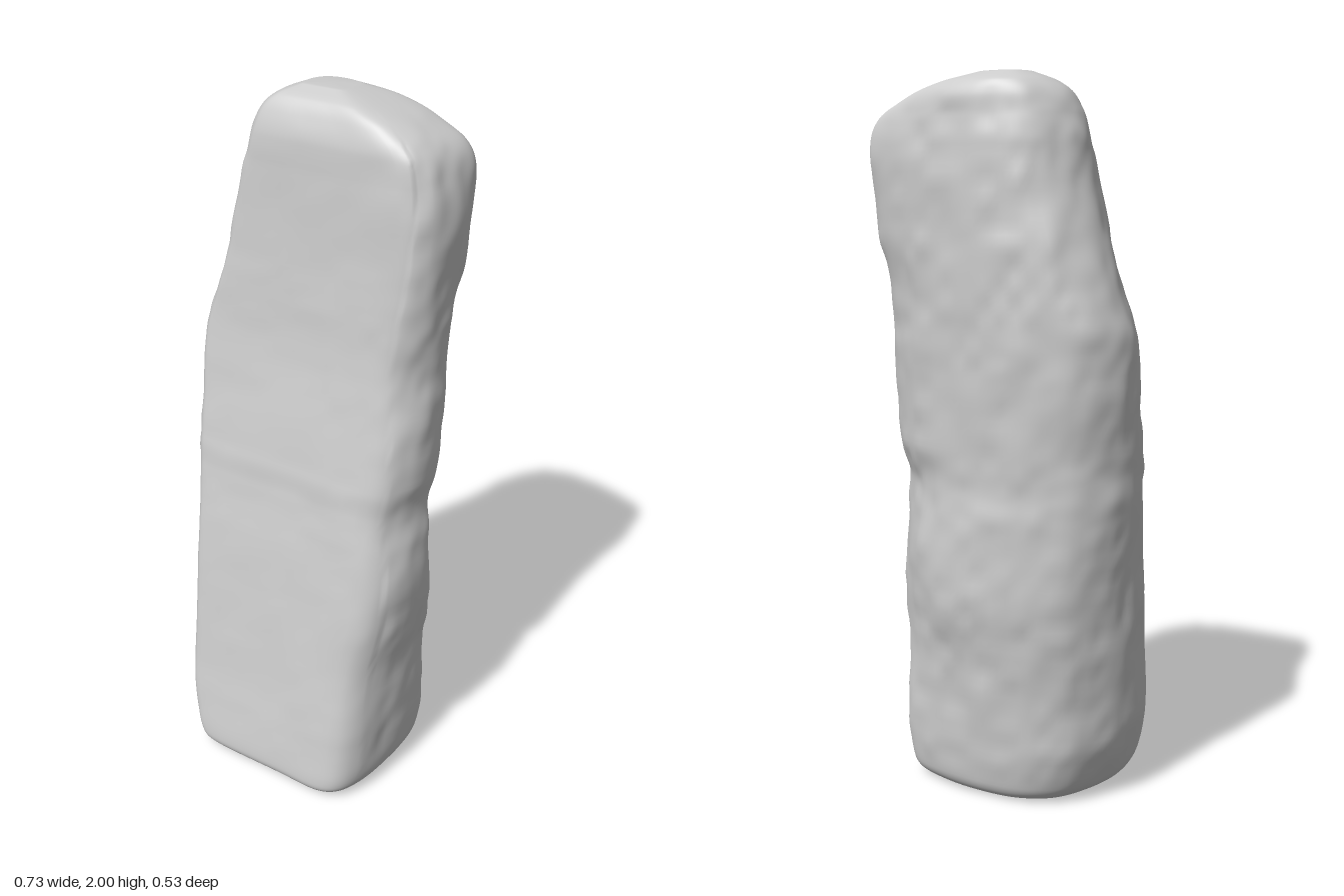
import * as THREE from 'three';

// Stations up the stone: y, left x, right x, front z, back z, depth of the back right edge
const stations = [
  [0.0, -0.17, 0.2, 0.2, -0.12, 0.9],
  [0.012, -0.23, 0.27, 0.25, -0.165, 0.9],
  [0.045, -0.265, 0.305, 0.265, -0.185, 0.9],
  [0.2, -0.315, 0.32, 0.242, -0.2, 0.88],
  [0.4, -0.325, 0.322, 0.21, -0.22, 0.8],
  [0.6, -0.335, 0.35, 0.178, -0.248, 0.7],
  [0.8, -0.345, 0.346, 0.145, -0.245, 0.62],
  [0.9, -0.35, 0.332, 0.128, -0.238, 0.64],
  [1.0, -0.355, 0.346, 0.112, -0.245, 0.7],
  [1.2, -0.365, 0.342, 0.075, -0.253, 0.7],
  [1.32, -0.364, 0.337, 0.055, -0.257, 0.7],
  [1.45, -0.325, 0.34, 0.042, -0.26, 0.73],
  [1.6, -0.283, 0.356, 0.027, -0.258, 0.82],
  [1.8, -0.237, 0.352, 0.015, -0.257, 0.92],
  [1.88, -0.215, 0.325, 0.01, -0.25, 0.92],
  [1.94, -0.19, 0.24, -0.008, -0.242, 0.9],
  [1.975, -0.15, 0.14, -0.03, -0.225, 0.88],
  [2.0, -0.09, 0.04, -0.08, -0.175, 0.85],
];

// Outline seen from above: u runs left to right (-1..1), v runs front to back (0..1)
const outline = (b) => [
  [-0.88, 0.02], [-0.8, 0], [0.1, 0], [0.68, 0.01], [0.84, 0.07], [0.94, 0.2],
  [1, b * 0.55], [0.985, b * 0.9], [0.93, b], [0.6, b + (1 - b) * 0.7], [0.15, 1],
  [-0.35, 0.97], [-0.72, 0.84], [-0.93, 0.6], [-1, 0.36], [-0.95, 0.12],
];

// Smooth seeded value noise for the weathered surface
function hash(x, y, z) {
  const s = Math.sin(x * 127.1 + y * 311.7 + z * 74.7) * 43758.5453;
  return s - Math.floor(s);
}
function noise(x, y, z) {
  const base = [x, y, z].map(Math.floor);
  const f = [x, y, z].map((c, k) => THREE.MathUtils.smoothstep(c - base[k], 0, 1));
  let sum = 0;
  for (let k = 0; k < 8; k++) {
    const o = [k & 1, (k >> 1) & 1, k >> 2];
    const w = o.reduce((p, c, i) => p * (c ? f[i] : 1 - f[i]), 1);
    sum += w * hash(base[0] + o[0], base[1] + o[1], base[2] + o[2]);
  }
  return sum * 2 - 1;
}

function createStoneGeometry(rings = 150, sides = 112) {
  const v3 = (...c) => new THREE.Vector3(...c);
  const sideCurve = new THREE.CatmullRomCurve3(stations.map((s) => v3(s[1], s[0], s[2])));
  const depthCurve = new THREE.CatmullRomCurve3(stations.map((s) => v3(s[3], s[4], s[5])));
  const positions = [];
  const index = [];

  for (let j = 0; j <= rings; j++) {
    const side = sideCurve.getPoint(j / rings);
    const depth = depthCurve.getPoint(j / rings);
    const y = THREE.MathUtils.clamp(side.y, 0, 2);
    const cx = (side.x + side.z) / 2, halfWidth = (side.z - side.x) / 2;
    const cz = (depth.x + depth.y) / 2;
    const section = new THREE.CatmullRomCurve3(outline(depth.z).map(([u, v]) =>
      v3(cx + u * halfWidth, y, THREE.MathUtils.lerp(depth.x, depth.y, v))), true);
    // Roughness fades out at both ends
    const fade = Math.min(1, y * 8, (2 - y) * 10);
    for (let i = 0; i < sides; i++) {
      const p = section.getPoint(i / sides);
      const out = v3((p.x - cx) * 0.5, 0, p.z - cz).normalize();
      const amount = out.z > 0.7 ? 0.35 : 1; // the front is flatter
      const bump = 0.007 * noise(p.x * 9, p.y * 7, p.z * 9)
        + 0.004 * noise(p.x * 24 + 5, p.y * 18, p.z * 24);
      p.addScaledVector(out, bump * fade * amount);
      positions.push(p.x, y, p.z);
    }
  }

  for (let j = 0; j < rings; j++) {
    for (let i = 0; i < sides; i++) {
      const a = j * sides + i, b = j * sides + (i + 1) % sides;
      index.push(a, b, b + sides, a, b + sides, a + sides);
    }
  }

  // Close the foot and the crown
  const foot = positions.length / 3, crown = foot + 1, last = rings * sides;
  positions.push(0.015, 0, 0.04, -0.025, 2, -0.13);
  for (let i = 0; i < sides; i++) {
    const n = (i + 1) % sides;
    index.push(foot, n, i, crown, last + i, last + n);
  }

  const geometry = new THREE.BufferGeometry();
  geometry.setAttribute('position', new THREE.Float32BufferAttribute(positions, 3));
  geometry.setIndex(index);
  geometry.computeVertexNormals();
  return geometry;
}

export function createModel() {
  const group = new THREE.Group();
  group.name = 'standingStone';
  const stone = new THREE.Mesh(
    createStoneGeometry(),
    new THREE.MeshStandardMaterial({ color: 0xcccccc }),
  );
  stone.name = 'stoneSlab';
  group.add(stone);
  return group;
}
